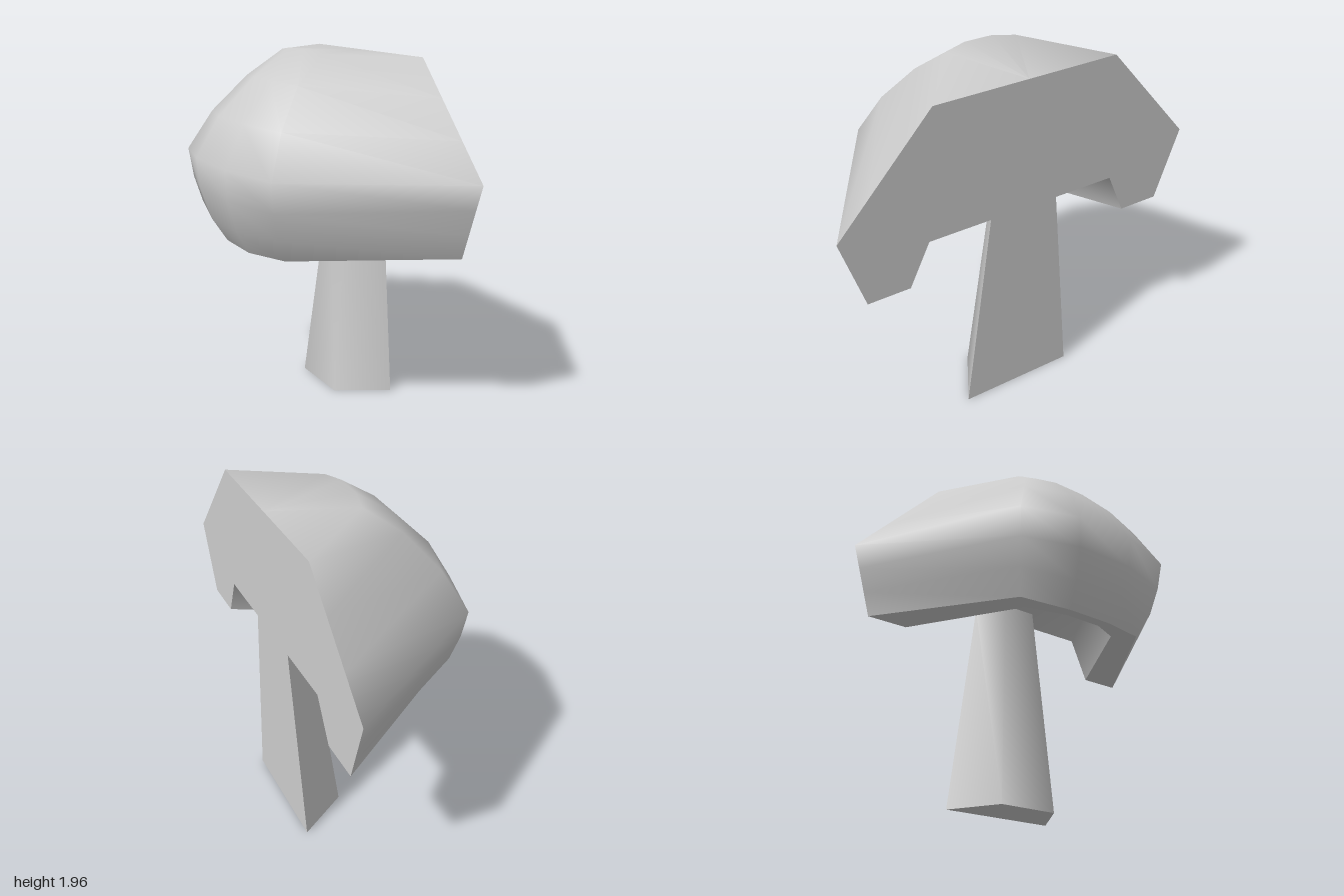
import * as THREE from 'three';

const CUT = 0.48; // plane of the flat cut face

// Surface through stations; each station is a list of [x, y, z] points
function loft(name, stations, material) {
  const rows = stations[0].length;
  const index = [];
  for (let i = 0; i < stations.length - 1; i++) {
    for (let j = 0; j < rows - 1; j++) {
      const a = i * rows + j, b = a + rows;
      index.push(a, b, a + 1, b, b + 1, a + 1);
    }
  }
  const g = new THREE.BufferGeometry();
  g.setAttribute('position', new THREE.Float32BufferAttribute(stations.flat(2), 3));
  g.setIndex(index);
  g.computeVertexNormals();
  const mesh = new THREE.Mesh(g, material);
  mesh.name = name;
  return mesh;
}

// Mirror the front half of the stations to the back
const mirrored = (half) => [
  ...half,
  ...half.slice().reverse().map((s) => s.map(([x, y, z]) => [x, y, -z])),
];

export function createModel() {
  const model = new THREE.Group();
  model.name = 'halfMushroom';
  const grey = new THREE.MeshStandardMaterial({ color: 0xcccccc });
  grey.name = 'lightGrey';

  // Cap profiles, from crown over the widest edge to the rim and the hollow
  const capHalf = [
    [ // at the cut
      [CUT, 1.93, 0], [CUT, 1.93, 0.5], [CUT, 1.743, 0.667], [CUT, 1.557, 0.833], [CUT, 1.37, 1],
      [CUT, 1.237, 0.96], [CUT, 1.103, 0.92], [CUT, 0.97, 0.88],
      [CUT, 0.97, 0.65], [CUT, 1.21, 0.54], [CUT, 1.21, 0],
    ],
    [ // at the corner
      [CUT, 1.93, 0], [0.06, 1.94, 0.2], [-0.12, 1.8, 0.28], [-0.28, 1.6, 0.4], [-0.39, 1.38, 0.5],
      [-0.37, 1.22, 0.48], [-0.33, 1.07, 0.45], [-0.26, 0.94, 0.4],
      [-0.16, 0.95, 0.3], [-0.09, 1.21, 0.24], [CUT, 1.21, 0],
    ],
    [ // beside the middle
      [CUT, 1.93, 0], [0.03, 1.955, 0.08], [-0.17, 1.81, 0.1], [-0.36, 1.61, 0.14], [-0.48, 1.39, 0.18],
      [-0.465, 1.22, 0.17], [-0.41, 1.05, 0.155], [-0.33, 0.92, 0.13],
      [-0.27, 0.92, 0.11], [-0.17, 1.21, 0.08], [CUT, 1.21, 0],
    ],
  ];
  const cap = mirrored(capHalf);
  const part = (from, to) => cap.map((s) => s.slice(from, to));
  model.add(loft('capOuter', part(0, 8), grey));
  model.add(loft('capRim', part(7, 9), grey));
  model.add(loft('capHollow', part(8, 11), grey));

  // Stem, flaring towards the foot
  const stem = mirrored([
    [[CUT, 1.21, 0.195], [CUT, 0, 0.33], [CUT, 0, 0]],
    [[0.315, 1.21, 0.1], [0.195, 0, 0.17], [CUT, 0, 0]],
  ]);
  model.add(loft('stemSides', stem.map((s) => s.slice(0, 2)), grey));
  model.add(loft('stemFoot', stem.map((s) => s.slice(1)), grey));

  // Flat cut face through cap and stem
  const side = [[0.5, 1.93], [1, 1.37], [0.88, 0.97], [0.65, 0.97], [0.54, 1.21], [0.195, 1.21], [0.33, 0]];
  const outline = [...side, ...side.slice().reverse().map(([z, y]) => [-z, y])];
  const shape = new THREE.Shape(outline.map(([z, y]) => new THREE.Vector2(z, y)));
  const face = new THREE.Mesh(new THREE.ShapeGeometry(shape), grey);
  face.name = 'cutFace';
  face.rotation.y = Math.PI / 2;
  face.position.x = CUT;
  model.add(face);

  return model;
}
